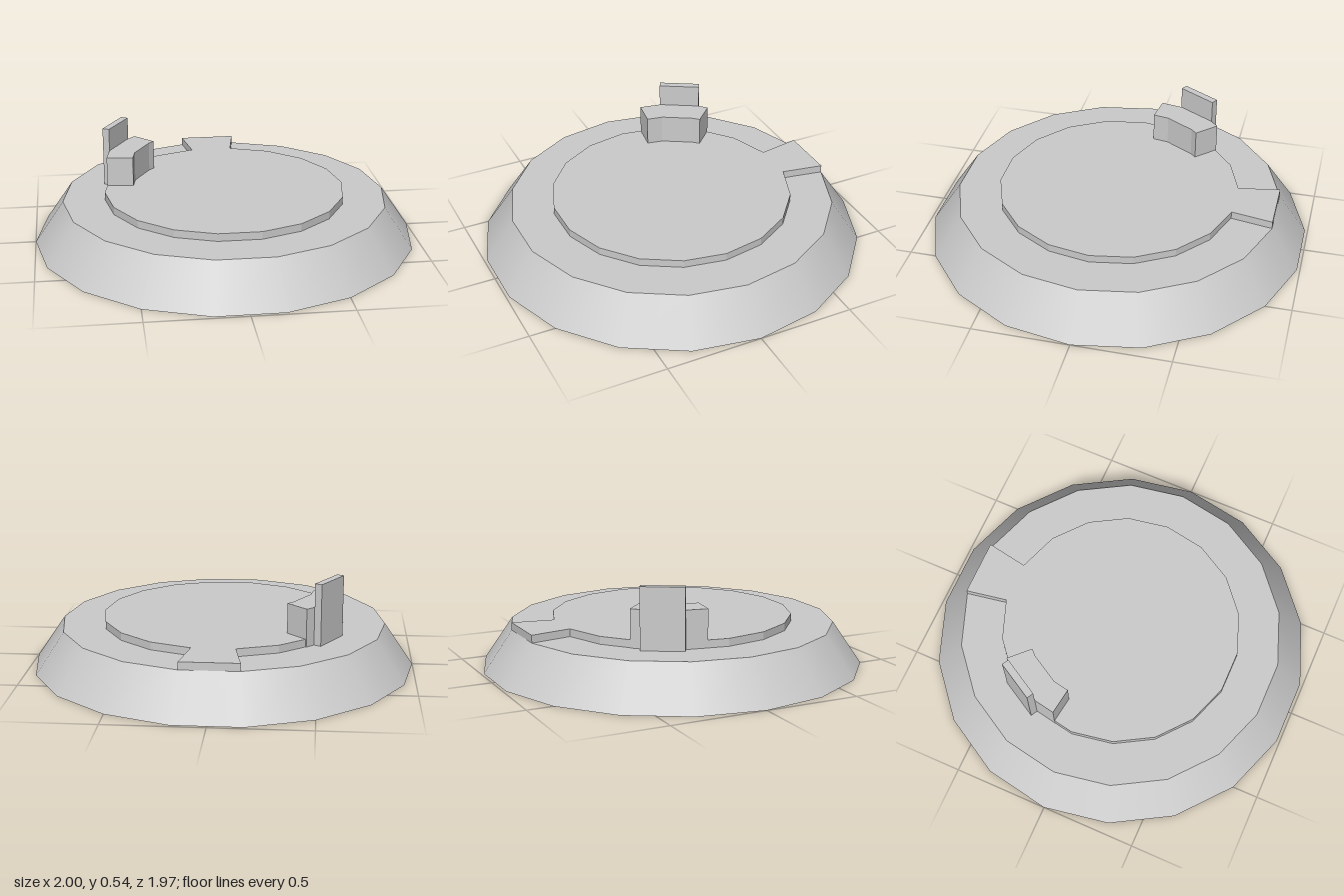
import * as THREE from 'three';

const SIDES = 18;
const material = new THREE.MeshStandardMaterial({ color: 0xcccccc });

// Point on a circle as [x, z]; steps of 20 degrees run from +x towards the back (-z)
const ring = (r, step) => {
  const a = (step / SIDES) * Math.PI * 2;
  return [r * Math.cos(a), -r * Math.sin(a)];
};

// Upright prism over an [x, z] outline, from y0 to y1
function prism(name, outline, y0, y1) {
  const shape = new THREE.Shape(outline.map(([x, z]) => new THREE.Vector2(x, -z)));
  const geometry = new THREE.ExtrudeGeometry(shape, { depth: y1 - y0, bevelEnabled: false });
  geometry.rotateX(-Math.PI / 2).translate(0, y0, 0);
  const mesh = new THREE.Mesh(geometry, material);
  mesh.name = name;
  return mesh;
}

export function createModel() {
  const model = new THREE.Group();
  model.name = 'roundPlatform';

  // Sloped base, smooth around its side
  const baseGeometry = new THREE.CylinderGeometry(0.85, 1, 0.22, SIDES);
  baseGeometry.rotateY(Math.PI / 2).translate(0, 0.11, 0);
  const base = new THREE.Mesh(baseGeometry, material);
  base.name = 'base';
  model.add(base);

  // Raised floor with a tab reaching the rim at the back (steps 4 to 5)
  const floor = [];
  for (let i = 0; i < SIDES; i++) {
    floor.push(ring(0.63, i));
    if (i === 4) floor.push(ring(0.85, 4), ring(0.85, 5));
  }
  model.add(prism('raisedFloor', floor, 0.22, 0.26));

  // Console block following the edge of the floor
  const block = [
    [-0.612, -0.105], ring(0.63, 8), ring(0.63, 7), [-0.445, -0.443],
    [-0.347, -0.344], ring(0.49, 7), ring(0.49, 8), [-0.475, -0.085],
  ];
  model.add(prism('consoleBlock', block, 0.22, 0.415));

  // Upright panel behind the block
  const panel = [ring(0.63, 8), [-0.625, -0.234], [-0.516, -0.424], ring(0.63, 7)];
  model.add(prism('backPanel', panel, 0.22, 0.535));

  return model;
}
